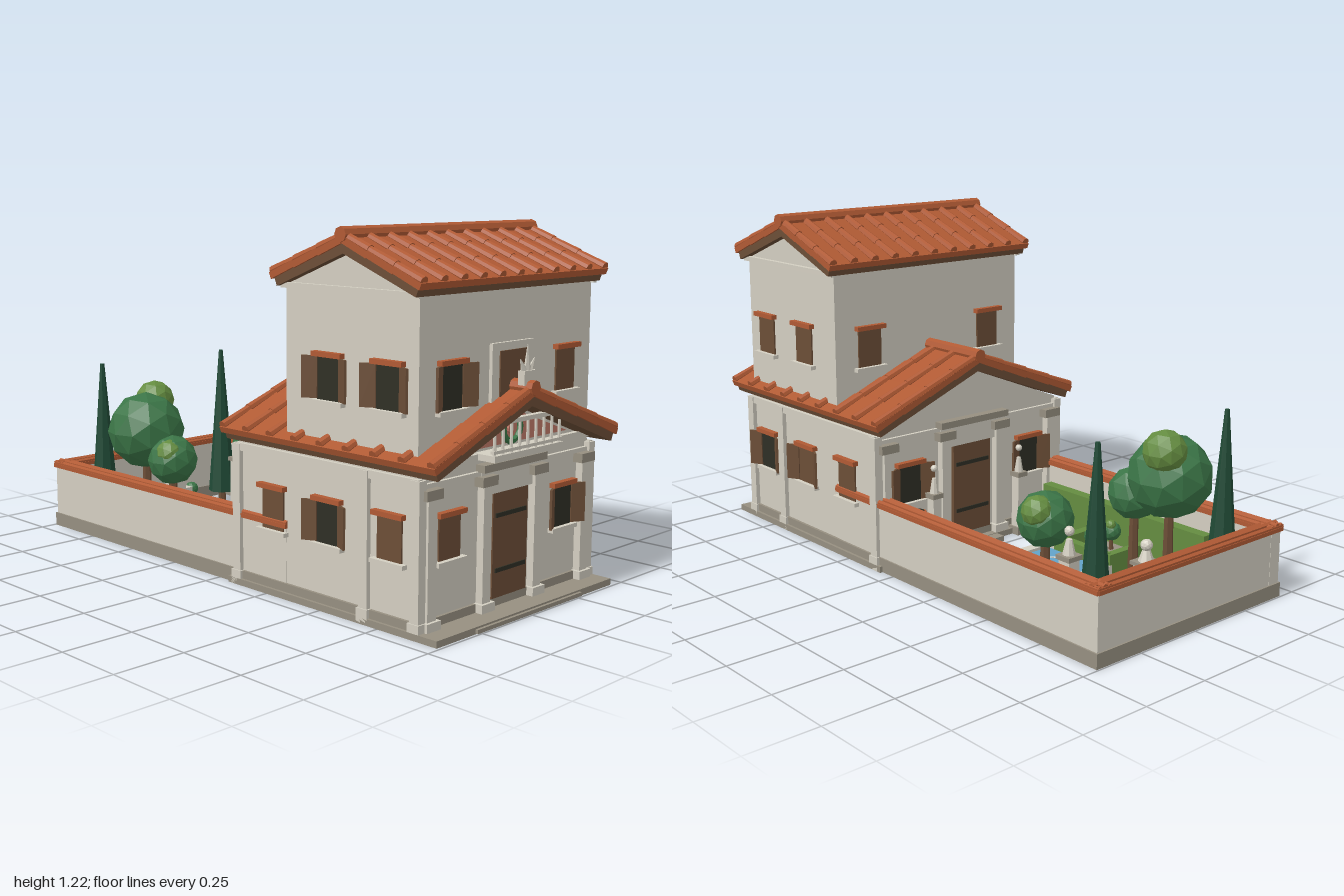
import * as THREE from 'three';

const mat = (name, color) => {
  const m = new THREE.MeshStandardMaterial({ color, flatShading: true });
  m.name = name;
  return m;
};

export function createModel() {
  const plaster = mat('plaster', 0xd3cec1), stone = mat('stone', 0x968f80), tile = mat('roofTile', 0xb05a34),
    wood = mat('wood', 0x6c4e37), dark = mat('darkOpening', 0x2f2f25), leaf = mat('leaf', 0x3b7547),
    light = mat('lightLeaf', 0x648c40), cypressGreen = mat('cypressGreen', 0x204a36),
    water = mat('water', 0x62a3c9), pink = mat('rosePaint', 0xbf7867);
  const model = new THREE.Group();
  model.name = 'courtyardVilla';

  const add = (parent, name, geo, m, x = 0, y = 0, z = 0) => {
    const mesh = new THREE.Mesh(geo, m);
    mesh.name = name;
    mesh.position.set(x, y, z);
    parent.add(mesh);
    return mesh;
  };
  const group = (name, x = 0, y = 0, z = 0, ry = 0, parent = model) => {
    const g = new THREE.Group();
    g.name = name;
    g.position.set(x, y, z);
    g.rotation.y = ry;
    parent.add(g);
    return g;
  };
  // box given by its extents on each axis
  const box = (p, name, m, x0, x1, y0, y1, z0, z1) =>
    add(p, name, new THREE.BoxGeometry(x1 - x0, y1 - y0, z1 - z0), m, (x0 + x1) / 2, (y0 + y1) / 2, (z0 + z1) / 2);
  const cyl = (p, name, m, rt, rb, h, x, y, z, n = 8) =>
    add(p, name, new THREE.CylinderGeometry(rt, rb, h, n), m, x, y, z);
  const ball = (p, name, m, r, x, y, z) => add(p, name, new THREE.IcosahedronGeometry(r, 1), m, x, y, z);
  const prism = (p, name, m, pts, depth, x, y, z) => {
    const g = new THREE.ExtrudeGeometry(new THREE.Shape(pts.map(q => new THREE.Vector2(...q))), { depth, bevelEnabled: false });
    return add(p, name, g, m, x, y, z);
  };
  const gable = (w, y0, y1, y2) => [[-w, y0], [w, y0], [w, y1], [0, y2], [-w, y1]];

  // house body
  const house = group('house');
  box(house, 'platform', stone, -0.45, 0.45, 0, 0.022, 0.06, 0.99);
  box(house, 'plinth', stone, -0.44, 0.44, 0.022, 0.05, 0.09, 0.902);
  box(house, 'frontStep', stone, -0.27, 0.27, 0.003, 0.016, 0.98, 1.0);
  box(house, 'backStep', stone, -0.1, 0.1, 0, 0.02, 0.02, 0.06);
  prism(house, 'lowerStorey', plaster, gable(0.43, 0.02, 0.495, 0.665), 0.792, 0, 0, 0.1);
  const upper = group('upperStoreyGroup', 0, 0, 0.61, Math.PI / 2, house);
  prism(upper, 'upperStorey', plaster, gable(0.28, 0.48, 1.035, 1.15), 0.856, 0, 0, -0.428);
  for (const s of [-1, 1]) {
    box(upper, 'gableBeam', plaster, -0.29, 0.29, 1.018, 1.036, s * 0.435 - 0.01, s * 0.435 + 0.01);
    box(house, 'eavesBeam', plaster, s * 0.432 - 0.01, s * 0.432 + 0.01, 0.462, 0.488, 0.09, 0.905);
    for (const z of [0.1, 0.685, 0.895]) {
      box(house, 'sidePilaster', plaster, s * 0.43 - 0.016, s * 0.43 + 0.016, 0, 0.485, z - 0.018, z + 0.018);
      box(house, 'sidePilasterBase', plaster, s * 0.43 - 0.02, s * 0.43 + 0.02, 0, 0.05, z - 0.023, z + 0.023);
    }
  }

  // tiled gable roof with its ridge along local z
  const roof = (parent, name, L, span, peak, eave, rolls, rows) => {
    const g = group(name, 0, 0, 0, 0, parent);
    const a = Math.atan2(peak - eave, span), s = Math.hypot(span, peak - eave);
    for (const ry of [0, Math.PI]) {
      const turn = group('roofSide', 0, peak, 0, ry, g), side = group('slope', 0, 0, 0, 0, turn);
      side.rotation.z = -a;
      box(side, 'roofBoard', wood, 0, s - 0.006, -0.05, -0.02, -L / 2 + 0.008, L / 2 - 0.008);
      for (let i = 0; i < rows; i++) {
        const row = box(side, 'tileRow', tile, i * s / rows, (i + 1) * s / rows + 0.004, -0.022, 0, -L / 2, L / 2);
        row.rotation.z = -0.025;
      }
      for (let i = 0; i < rolls; i++) {
        const z = -L / 2 + 0.015 + i * (L - 0.03) / (rolls - 1);
        for (let j = 0; j < rows; j++) {
          const roll = cyl(side, 'rollTile', tile, 0.013, 0.016, s / rows, (j + 0.5) * s / rows, 0.002, z);
          roll.rotation.z = Math.PI / 2;
        }
      }
    }
    cyl(g, 'ridge', tile, 0.024, 0.024, L + 0.01, 0, peak + 0.004, 0).rotation.x = Math.PI / 2;
    return g;
  };
  roof(house, 'lowerRoof', 0.945, 0.465, 0.718, 0.54, 9, 4).position.z = 0.515;
  const topRoof = roof(house, 'upperRoof', 0.935, 0.315, 1.19, 1.068, 11, 3);
  topRoof.position.z = 0.61;
  topRoof.rotation.y = Math.PI / 2;

  // windows: a flat pane, tiled lintel, sill and optional open shutters
  const win = (x, y, z, ry, open, shutters = open) => {
    const g = group('window', x, y, z, ry, house);
    box(g, 'pane', open ? dark : wood, -0.05, 0.05, -0.07, 0.07, 0, 0.006);
    box(g, 'lintel', tile, -0.063, 0.063, 0.066, 0.082, 0, 0.022);
    box(g, 'sill', plaster, -0.068, 0.068, -0.084, -0.07, 0, 0.022);
    if (shutters) for (const s of [-1, 1]) {
      const hinge = group('shutterHinge', s * 0.05, 0, 0.004, -s * 0.45, g);
      box(hinge, 'shutter', wood, s * 0.026 - 0.026, s * 0.026 + 0.026, -0.067, 0.067, 0, 0.008);
    }
  };
  const H = Math.PI / 2, lo = 0.29, hi = 0.748;
  win(-0.287, hi, 0.89, 0, true);
  win(0.287, hi, 0.89, 0, false);
  win(-0.287, lo, 0.892, 0, false);
  win(0.287, lo, 0.892, 0, true);
  for (const z of [0.775, 0.525]) {
    win(0.428, hi, z, H, false);
    win(-0.428, hi, z, -H, true);
  }
  win(0.43, lo, 0.785, H, true);
  win(0.43, lo, 0.525, H, false, true);
  win(0.43, lo, 0.27, H, false);
  win(-0.43, lo, 0.785, -H, false);
  win(-0.43, lo, 0.525, -H, true);
  win(-0.43, lo, 0.27, -H, false);
  for (const s of [-1, 1]) {
    win(s * 0.28, hi, 0.33, Math.PI, false);
    win(s * 0.285, lo, 0.1, Math.PI, true);
  }

  // portals with barred doors and pilasters, front and back
  for (const [z, ry] of [[0.892, 0], [0.1, Math.PI]]) {
    const p = group('portal', 0, 0, z, ry, house);
    box(p, 'door', wood, -0.088, 0.088, 0.05, 0.39, 0, 0.014);
    for (const y of [0.14, 0.318]) box(p, 'doorBand', dark, -0.077, 0.077, y - 0.007, y + 0.007, 0.012, 0.018);
    box(p, 'doorHead', plaster, -0.15, 0.15, 0.39, 0.47, 0, 0.014);
    box(p, 'portalLintel', stone, -0.16, 0.16, 0.468, 0.492, 0, 0.035);
    box(p, 'crossBeam', plaster, -0.43, 0.43, 0.456, 0.47, 0, 0.012);
    for (const s of [-1, 1]) for (const x of [0.13, 0.39]) {
      box(p, 'pilaster', plaster, s * x - 0.02, s * x + 0.02, 0.03, 0.43, 0, 0.026);
      box(p, 'capital', stone, s * x - 0.037, s * x + 0.037, 0.424, 0.455, 0, 0.036);
      box(p, 'pilasterBase', plaster, s * x - 0.032, s * x + 0.032, 0.02, 0.05, 0, 0.036);
    }
  }

  // painted pediment, wreath and balcony
  prism(house, 'pediment', pink, [[-0.3, 0.54], [0.3, 0.54], [0, 0.65]], 0.006, 0, 0, 0.892);
  add(house, 'wreath', new THREE.TorusGeometry(0.043, 0.011, 6, 14), leaf, 0, 0.588, 0.902);
  cyl(house, 'medallion', pink, 0.02, 0.02, 0.01, 0, 0.588, 0.902, 12).rotation.x = H;
  box(house, 'pedimentBeam', plaster, -0.42, 0.42, 0.505, 0.528, 0.88, 0.91);
  box(house, 'balconyFloor', plaster, -0.175, 0.175, 0.51, 0.53, 0.89, 0.975);
  box(house, 'handRail', plaster, -0.18, 0.18, 0.622, 0.636, 0.955, 0.975);
  box(house, 'footRail', plaster, -0.175, 0.175, 0.535, 0.545, 0.958, 0.972);
  for (let i = 0; i < 9; i++) cyl(house, 'baluster', plaster, 0.005, 0.006, 0.1, -0.165 + i * 0.04125, 0.575, 0.965, 6);
  for (const s of [-1, 1]) box(house, 'sideRail', plaster, s * 0.17 - 0.007, s * 0.17 + 0.007, 0.622, 0.636, 0.89, 0.965);

  // upper central window and roof finial
  box(house, 'centreWindowFrame', plaster, -0.103, 0.103, 0.66, 0.86, 0.88, 0.902);
  box(house, 'centreWindow', wood, -0.068, 0.068, 0.66, 0.835, 0.9, 0.907);
  box(house, 'finialBase', plaster, -0.03, 0.03, 0.73, 0.775, 0.945, 0.97);
  for (const [x, h, tilt] of [[0, 0.1, 0], [-0.022, 0.06, 0.5], [0.022, 0.06, -0.5]]) {
    const c = cyl(house, 'finialLeaf', plaster, 0.002, 0.02, h, x, 0.755 + h / 2, 0.957, 6);
    c.rotation.z = tilt;
    c.scale.z = 0.5;
  }

  // garden walls with tiled caps
  const wall = (name, len, x, z, ry) => {
    const g = group(name, x, 0, z, ry);
    box(g, 'wallBase', stone, -0.03, 0.03, 0, 0.05, -len / 2, len / 2);
    box(g, 'wallFace', plaster, -0.024, 0.024, 0.05, 0.238, -len / 2 + 0.005, len / 2 - 0.005);
    box(g, 'wallCap', tile, -0.034, 0.034, 0.234, 0.248, -len / 2, len / 2);
    for (const [dx, y] of [[-0.022, 0.249], [0, 0.253], [0.022, 0.249]])
      cyl(g, 'capRoll', tile, 0.011, 0.011, len, dx, y, 0, 6).rotation.x = H;
  };
  wall('leftGardenWall', 1.33, 0.408, -0.33, 0);
  wall('rightGardenWall', 1.33, -0.408, -0.33, 0);
  wall('backGardenWall', 0.874, 0, -0.965, H);

  // pool and paving
  const garden = group('garden');
  for (const s of [-1, 1]) box(garden, 'poolSide', plaster, s * 0.124 - 0.009, s * 0.124 + 0.009, 0, 0.045, -0.508, -0.17);
  box(garden, 'poolBackEdge', plaster, -0.116, 0.116, 0, 0.045, -0.508, -0.476);
  box(garden, 'poolFrontEdge', plaster, -0.188, 0.188, 0, 0.044, -0.206, -0.168);
  box(garden, 'poolWater', water, -0.116, 0.116, 0.004, 0.034, -0.476, -0.206);
  add(garden, 'ripple', new THREE.TorusGeometry(0.068, 0.003, 4, 20), plaster, 0, 0.035, -0.337).rotation.x = H;
  for (const [z, d, r] of [[-0.12, 0.09, 0.05], [-0.025, 0.09, -0.04], [-0.56, 0.1, 0.02], [-0.69, 0.11, -0.08]])
    box(garden, 'pavingSlab', stone, -0.043, 0.043, 0, 0.012, z - d / 2, z + d / 2).rotation.y = r;

  // hedges, flower beds, small bushes and cypresses on both sides
  for (const s of [-1, 1]) {
    const side = group('gardenSide', s * 0.235, 0, 0, 0, garden);
    const out = s * 0.116;
    box(side, 'outerHedge', light, out - 0.021, out + 0.021, 0, 0.17, -0.75, 0.05);
    box(side, 'innerHedge', light, -out * 0.9 - 0.016, -out * 0.9 + 0.016, 0, 0.085, -0.49, -0.235);
    box(side, 'frontHedge', light, -0.12, 0.11, 0, 0.083, -0.27, -0.235);
    box(side, 'backHedge', light, -0.12, 0.11, 0, 0.083, -0.505, -0.475);
    box(side, 'flowerBed', stone, -0.095, 0.095, 0, 0.03, -0.475, -0.27);
    for (const x of [-0.045, 0.045]) {
      cyl(side, 'bushTrunk', wood, 0.007, 0.009, 0.07, x, 0.055, -0.362, 6);
      ball(side, 'bush', leaf, 0.036, x, 0.1, -0.362);
      ball(side, 'bushTop', light, 0.019, x + 0.012, 0.128, -0.37);
    }
    for (let i = 0; i < 6; i++)
      ball(side, 'flower', pink, 0.007, -0.075 + i * 0.03, 0.04, i % 2 ? -0.3 : -0.43);
    cyl(garden, 'cypress', cypressGreen, 0.008, 0.056, 0.6, s * 0.302, 0.345, -0.85, 8);
    cyl(garden, 'cypressTrunk', wood, 0.014, 0.016, 0.06, s * 0.302, 0.03, -0.85, 6);
    ball(garden, 'benchBush', leaf, 0.028, s * 0.157, 0.07, -0.877);
    cyl(garden, 'benchPot', tile, 0.02, 0.014, 0.05, s * 0.157, 0.025, -0.877);
    box(garden, 'benchLeg', stone, s * 0.1 - 0.015, s * 0.1 + 0.015, 0, 0.065, -0.92, -0.855);
  }
  box(garden, 'benchSeat', plaster, -0.135, 0.135, 0.065, 0.085, -0.93, -0.845);

  // trees
  const tree = (x, z, y, r, lx, ly, lz, lr) => {
    const t = group('tree', x, 0, z, 0, garden);
    cyl(t, 'trunk', wood, 0.014, 0.02, y, 0, y / 2, 0, 6);
    ball(t, 'canopy', leaf, r, 0, y, 0);
    ball(t, 'canopyTop', light, lr, lx, ly, lz);
  };
  tree(-0.22, -0.685, 0.395, 0.148, 0.07, 0.5, -0.035, 0.077);
  tree(0.22, -0.54, 0.305, 0.097, 0.05, 0.345, -0.015, 0.055);
  tree(-0.215, -0.53, 0.3, 0.095, -0.03, 0.33, 0.02, 0.055);

  // statues on pedestals
  const statue = (x, z, w, h) => {
    const g = group('statue', x, 0, z, 0, garden);
    box(g, 'pedestalFoot', stone, -w, w, 0, 0.03, -w, w);
    box(g, 'pedestal', plaster, -w * 0.7, w * 0.7, 0.03, h * 0.65, -w * 0.7, w * 0.7);
    box(g, 'pedestalTop', stone, -w * 0.9, w * 0.9, h * 0.65, h * 0.7, -w * 0.9, w * 0.9);
    cyl(g, 'bust', plaster, w * 0.3, w * 0.65, h * 0.16, 0, h * 0.78, 0);
    ball(g, 'head', plaster, w * 0.5, 0, h - w * 0.5, 0);
  };
  statue(0, -0.785, 0.042, 0.25);
  statue(0.24, -0.672, 0.034, 0.32);
  statue(0.205, 0.055, 0.026, 0.35);
  statue(-0.205, 0.055, 0.026, 0.35);

  // clay pot
  cyl(garden, 'pot', tile, 0.026, 0.016, 0.05, 0.325, 0.195, -0.01);
  cyl(garden, 'potSoil', dark, 0.018, 0.018, 0.004, 0.325, 0.221, -0.01);

  return model;
}
